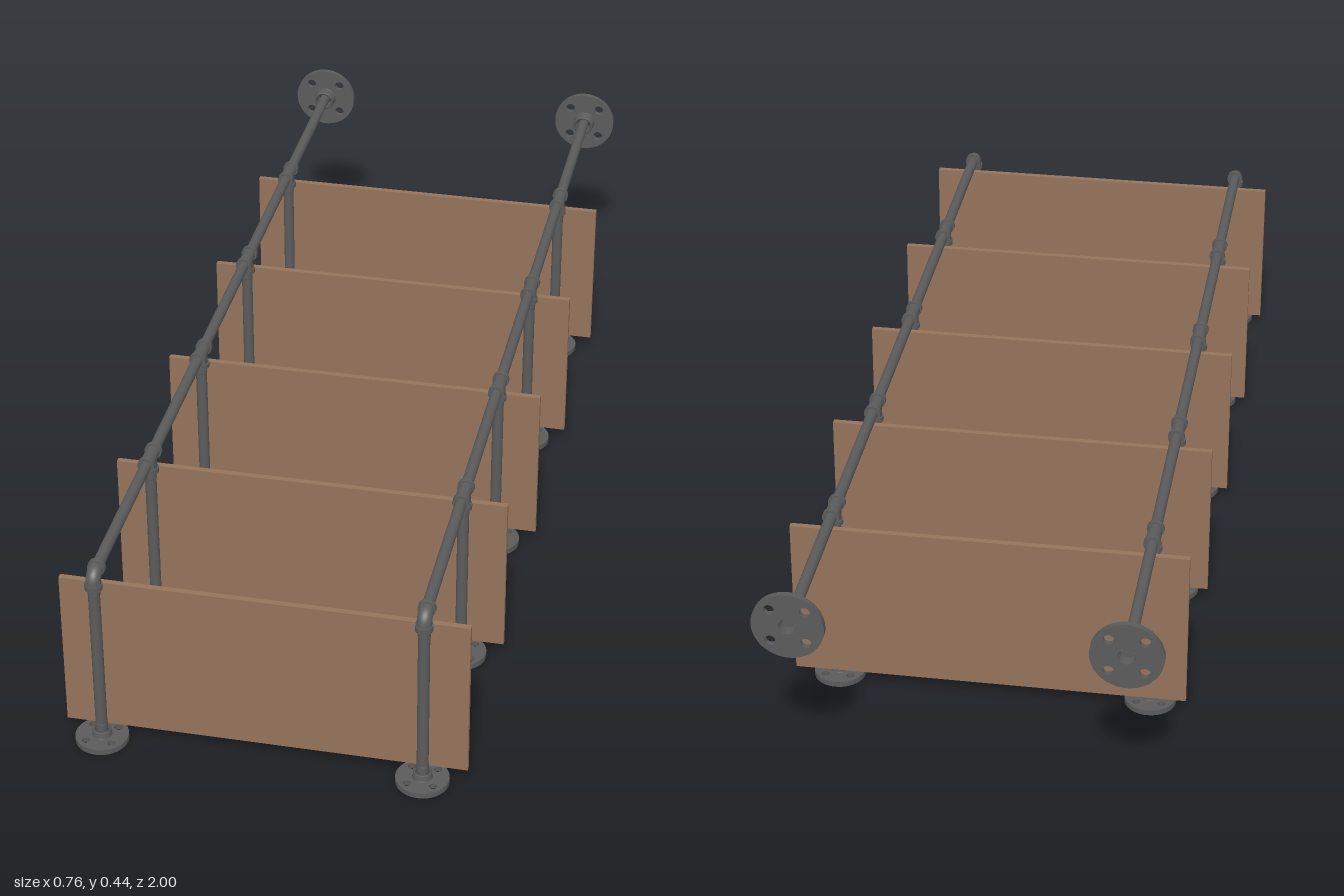
import * as THREE from 'three';

const V = (x, y) => new THREE.Vector2(x, y);

export function createModel() {
  const model = new THREE.Group();
  const iron = new THREE.MeshStandardMaterial({ color: 0x5b5b5b });
  iron.name = 'dark iron';
  const wood = new THREE.MeshStandardMaterial({ color: 0x94735b });
  wood.name = 'brown wood';

  const railY = 0.375, pipeR = 0.011, fitR = 0.0145;
  const sides = [-0.309, 0.299];
  const legZ = [0.95, 0.561, 0.173, -0.216, -0.605];

  function add(parent, name, geometry, material = iron) {
    const mesh = new THREE.Mesh(geometry, material);
    mesh.name = name;
    parent.add(mesh);
    return mesh;
  }

  // Round bar between two heights along the local y axis
  function bar(parent, name, r, y0, y1) {
    const mesh = add(parent, name, new THREE.CylinderGeometry(r, r, y1 - y0, 24));
    mesh.position.y = (y0 + y1) / 2;
    return mesh;
  }

  // Round bar along z
  function zBar(parent, name, r, z0, z1, y) {
    const mesh = add(parent, name, new THREE.CylinderGeometry(r, r, z1 - z0, 24).rotateX(Math.PI / 2));
    mesh.position.set(0, y, (z0 + z1) / 2);
    return mesh;
  }

  // Screw thread as a stack of small ridges
  function thread(parent, y0, y1) {
    const points = [], n = 6;
    for (let i = 0; i <= n * 2; i++) {
      points.push(V(i % 2 ? 0.0118 : 0.0108, y0 + (y1 - y0) * i / (n * 2)));
    }
    add(parent, 'thread', new THREE.LatheGeometry(points, 24));
  }

  // Disc with four screw holes and a hollow hub, rising along +y
  function flange(name, r, thick, hubR, hubTop, bore) {
    const group = new THREE.Group();
    group.name = name;
    const shape = new THREE.Shape();
    shape.absarc(0, 0, r, 0, Math.PI * 2);
    const hole = (x, y, hr) => {
      const path = new THREE.Path();
      path.absarc(x, y, hr, 0, Math.PI * 2, true);
      shape.holes.push(path);
    };
    hole(0, 0, bore);
    for (let i = 0; i < 4; i++) {
      const a = Math.PI / 4 + i * Math.PI / 2;
      hole(Math.cos(a) * r * 0.69, Math.sin(a) * r * 0.69, r * 0.15);
    }
    const plate = new THREE.ExtrudeGeometry(shape, { depth: thick, bevelEnabled: false, curveSegments: 24 });
    add(group, 'flangePlate', plate.rotateX(-Math.PI / 2));
    const hub = [V(hubR * 1.12, thick * 0.9), V(hubR, thick + 0.003), V(hubR, hubTop - 0.002),
      V(hubR - 0.002, hubTop), V(bore, hubTop), V(bore, thick * 0.9)];
    add(group, 'flangeHub', new THREE.LatheGeometry(hub, 28));
    return group;
  }

  // Quarter bend joining the first leg to the rail
  function elbow(parent, z) {
    const bend = new THREE.QuadraticBezierCurve3(
      new THREE.Vector3(0, railY - 0.022, z),
      new THREE.Vector3(0, railY, z),
      new THREE.Vector3(0, railY, z - 0.022));
    add(parent, 'elbow', new THREE.TubeGeometry(bend, 12, fitR - 0.0005, 24));
    bar(parent, 'elbowCollar', fitR + 0.002, railY - 0.03, railY - 0.019).position.z = z;
    zBar(parent, 'elbowCollar', fitR + 0.002, z - 0.03, z - 0.019, railY);
  }

  // T fitting with a raised band at each mouth
  function tee(parent, z) {
    zBar(parent, 'teeBody', fitR - 0.001, z - 0.03, z + 0.03, railY);
    for (const s of [-1, 1]) {
      const mid = z + s * 0.026;
      zBar(parent, 'teeBand', fitR + 0.002, mid - 0.005, mid + 0.005, railY);
    }
    bar(parent, 'teeBranch', fitR - 0.001, railY - 0.03, railY).position.z = z;
    bar(parent, 'teeBand', fitR + 0.002, railY - 0.03, railY - 0.02).position.z = z;
  }

  for (const x of sides) {
    const frame = new THREE.Group();
    frame.name = x < 0 ? 'rightPipeFrame' : 'leftPipeFrame';
    frame.position.x = x;
    model.add(frame);

    // Long rail and its wall flange
    zBar(frame, 'rail', pipeR, -0.985, 0.93, railY);
    const wall = flange('wallFlange', 0.067, 0.011, 0.022, 0.03, 0.0165);
    wall.rotation.x = Math.PI / 2;
    wall.position.set(0, railY, -1);
    frame.add(wall);

    legZ.forEach((z, i) => {
      // Leg, threaded at both ends, standing on a foot flange
      const leg = new THREE.Group();
      leg.name = 'leg';
      leg.position.z = z;
      frame.add(leg);
      leg.add(flange('footFlange', 0.05, 0.011, 0.0175, 0.024, 0.0125));
      bar(leg, 'legPipe', pipeR, 0.04, 0.33);
      thread(leg, 0.01, 0.04);
      thread(leg, 0.33, 0.352);
      bar(leg, 'pipeEnd', 0.0105, 0.008, 0.04);
      if (i === 0) elbow(frame, z);
      else tee(frame, z);
    });
  }

  // Upright boards fixed behind each pair of legs
  for (const z of legZ) {
    const board = add(model, 'board', new THREE.BoxGeometry(0.76, 0.322, 0.012), wood);
    board.position.set(0, 0.186, z - 0.022);
  }

  return model;
}
